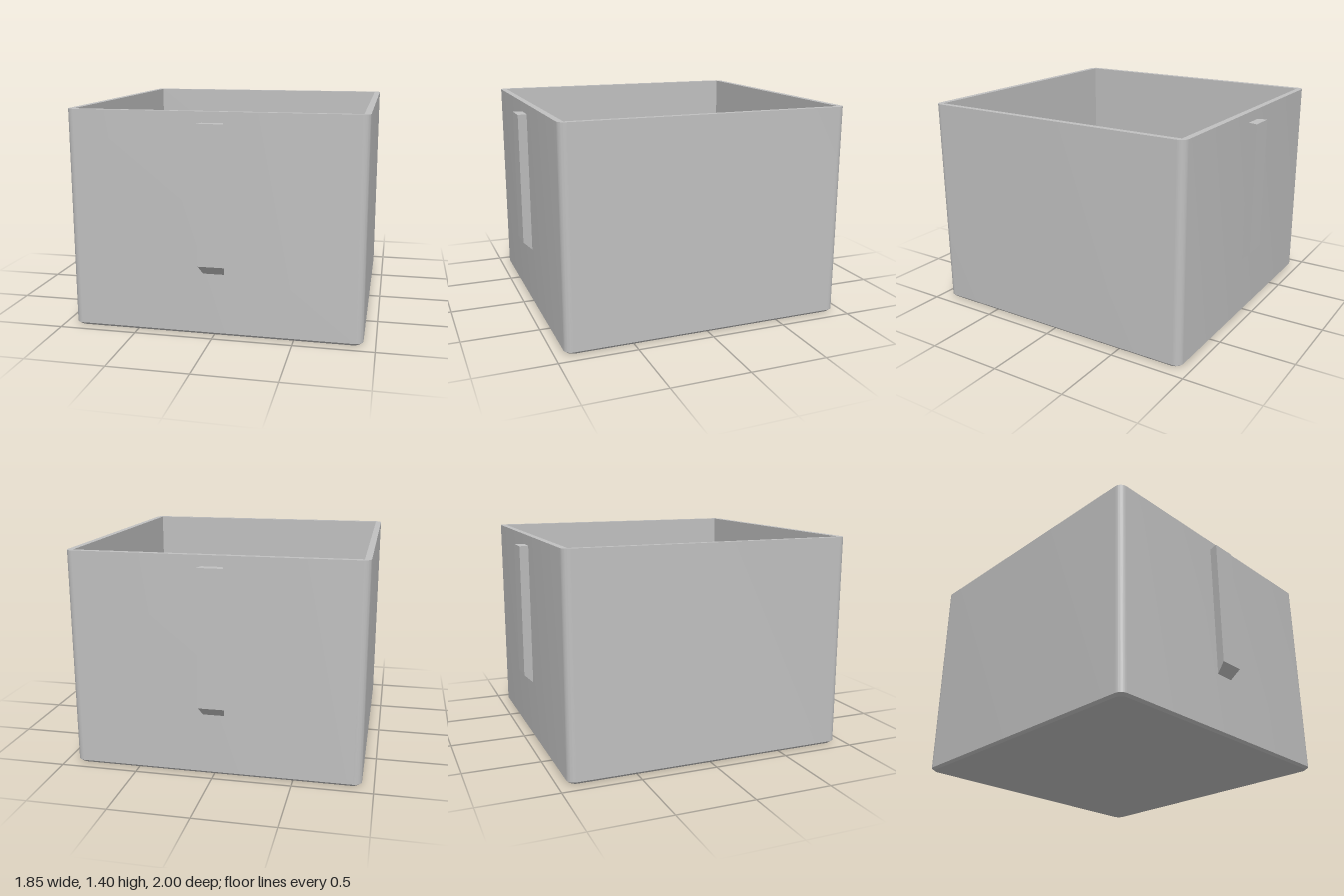
import * as THREE from 'three';
import { toCreasedNormals } from 'three/addons/utils/BufferGeometryUtils.js';

const W = 0.925, D = 0.938, H = 1.4;     // half width, half depth, height
const WALL = 0.04, R = 0.05, CHAMFER = 0.016, FLOOR = 0.04;

// Rounded rectangle outline in plan
function outline(w, d, r) {
  const s = new THREE.Shape();
  s.absarc(w - r, d - r, r, 0, Math.PI / 2);
  s.absarc(-w + r, d - r, r, Math.PI / 2, Math.PI);
  s.absarc(-w + r, -d + r, r, Math.PI, Math.PI * 1.5);
  s.absarc(w - r, -d + r, r, Math.PI * 1.5, Math.PI * 2);
  s.closePath();
  return s;
}

// Extrude a plan shape upwards between two heights
function rise(shape, y0, y1) {
  return new THREE.ExtrudeGeometry(shape, { depth: y1 - y0, bevelEnabled: false, curveSegments: 8 })
    .rotateX(-Math.PI / 2).translate(0, y0, 0);
}

// Move every vertex by a rule, then refresh the normals
function reshape(geometry, rule) {
  const p = geometry.attributes.position;
  const v = new THREE.Vector3();
  for (let i = 0; i < p.count; i++) {
    rule(v.fromBufferAttribute(p, i));
    p.setXYZ(i, v.x, v.y, v.z);
  }
  geometry.computeVertexNormals();
  return geometry;
}

export function createModel() {
  const model = new THREE.Group();
  model.name = 'openBox';
  const grey = new THREE.MeshStandardMaterial({ color: 0xc0c0c0 });
  grey.name = 'plain grey';

  const add = (name, geometry) => {
    const mesh = new THREE.Mesh(geometry, grey);
    mesh.name = name;
    model.add(mesh);
    return mesh;
  };

  // Walls: rounded outside, square inside
  const iw = W - WALL, id = D - WALL;
  const ring = outline(W, D, R);
  ring.holes.push(new THREE.Path([
    new THREE.Vector2(-iw, -id), new THREE.Vector2(-iw, id),
    new THREE.Vector2(iw, id), new THREE.Vector2(iw, -id),
  ]));
  add('walls', toCreasedNormals(rise(ring, CHAMFER, H), 0.5));

  // Base plate with its lower edge drawn in to a chamfer
  const base = reshape(rise(outline(W, D, R), 0, CHAMFER), (v) => {
    if (v.y < CHAMFER / 2) {
      v.x *= (W - CHAMFER) / W;
      v.z *= (D - CHAMFER) / D;
    }
  });
  add('basePlate', toCreasedNormals(base, 0.5));

  // Inside floor
  add('floor', new THREE.BoxGeometry(iw * 2, FLOOR - CHAMFER, id * 2)
    .translate(0, (FLOOR + CHAMFER) / 2, 0));

  // Dovetail ribs on front and back, with a sloped lower end
  const dovetail = new THREE.Shape([
    new THREE.Vector2(-0.066, -D), new THREE.Vector2(-0.083, -1),
    new THREE.Vector2(0.083, -1), new THREE.Vector2(0.066, -D),
  ]);
  const rib = reshape(rise(dovetail, 0.4, 1.333), (v) => {
    if (v.y < 0.5 && v.z > 0.99) v.y += 0.062;
  });
  add('frontRib', rib);
  add('backRib', rib).rotation.y = Math.PI;

  return model;
}
